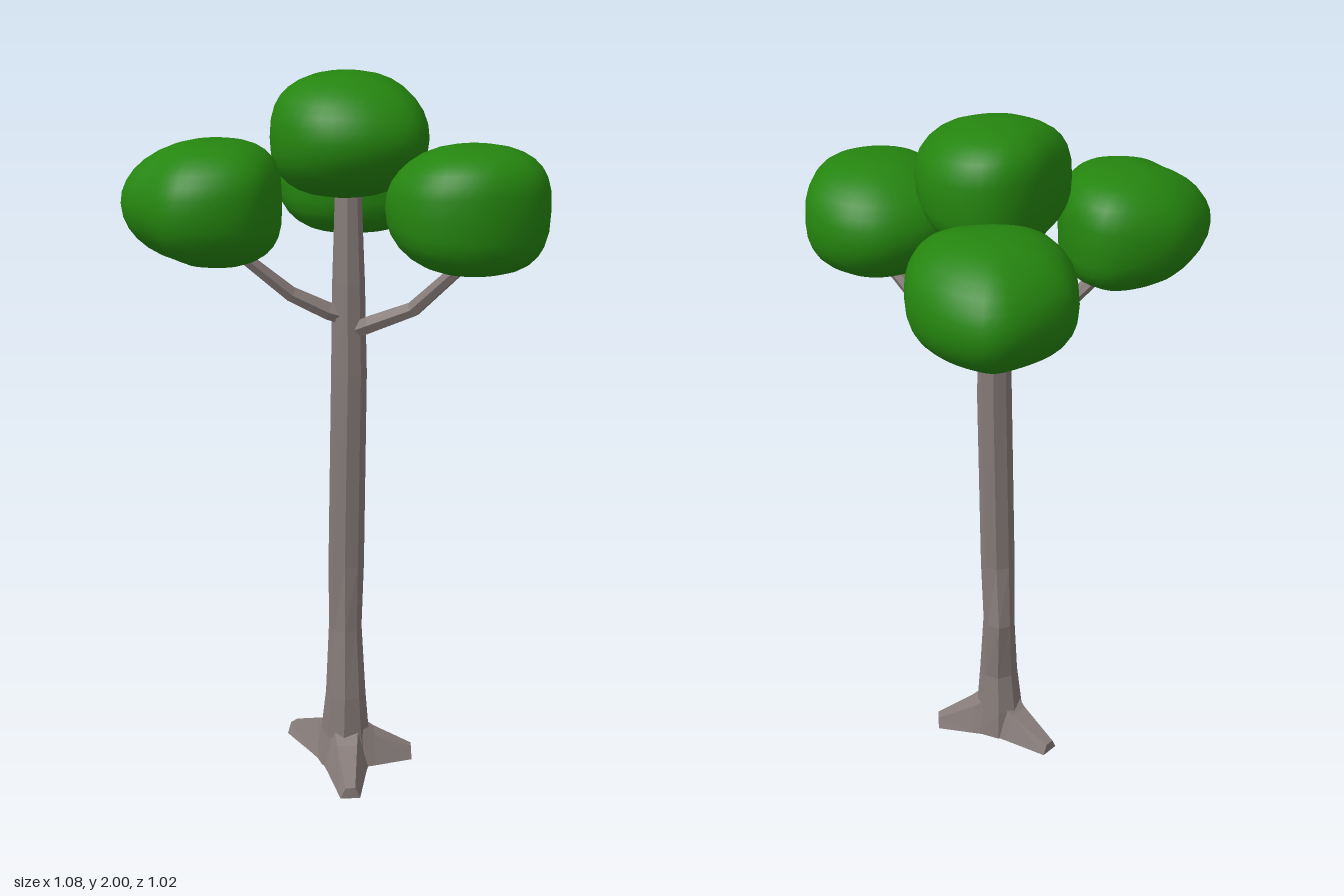
import * as THREE from 'three';

const V = (x, y, z) => new THREE.Vector3(x, y, z);

// Skin a stack of equal-length rings and close both ends.
function loft(rings, bottom, top, smooth) {
  const n = rings[0].length, pts = [...rings.flat(), bottom, top], idx = [];
  const b0 = pts.length - 2, t0 = pts.length - 1, last = (rings.length - 1) * n;
  for (let j = 0; j < n; j++) {
    const k = (j + 1) % n;
    for (let i = 0; i < rings.length - 1; i++) {
      const a = i * n + j, b = i * n + k;
      idx.push(a, a + n, b, b, a + n, b + n);
    }
    idx.push(b0, j, k, t0, last + k, last + j);
  }
  let geo = new THREE.BufferGeometry().setFromPoints(pts);
  geo.setIndex(idx);
  if (!smooth) geo = geo.toNonIndexed();
  geo.computeVertexNormals();
  return geo;
}

const average = (ring) => ring.reduce((s, p) => s.add(p), V(0, 0, 0)).divideScalar(ring.length);

// Place 2D sections [u, w] at centres, across the direction t.
function sweep(centres, sections, side, up) {
  const rings = centres.map((c, i) => sections[i].map(([u, w]) =>
    c.clone().addScaledVector(side[i], u).addScaledVector(up[i], w)));
  return loft(rings, average(rings[0]), average(rings.at(-1)), false);
}

function polygon(n, rx, rz, turn = 0) {
  return Array.from({ length: n }, (_, i) => {
    const a = (i / n) * Math.PI * 2 + turn;
    return [Math.cos(a) * rx, Math.sin(a) * rz];
  });
}

function trunkGeometry() {
  // y, x, z, half width, half depth
  const rows = [
    [0, 0.055, 0.085, 0.09, 0.085], [0.09, 0.055, 0.083, 0.07, 0.073],
    [0.22, 0.055, 0.092, 0.058, 0.06], [0.43, 0.055, 0.076, 0.047, 0.06],
    [0.63, 0.055, 0.088, 0.051, 0.042], [1.2, 0.058, 0.098, 0.049, 0.045],
    [1.45, 0.056, 0.095, 0.044, 0.041], [1.78, 0.054, 0.088, 0.032, 0.028]];
  return sweep(rows.map(([y, x, z]) => V(x, y, z)),
    rows.map((r) => polygon(8, r[3], r[4], 0.2)),
    rows.map(() => V(1, 0, 0)), rows.map(() => V(0, 0, 1)));
}

function rootGeometry(tipX, tipZ) {
  const start = V(0.055, 0, 0.09), tip = V(tipX, 0, tipZ);
  const dir = tip.clone().sub(start), length = dir.length();
  dir.normalize();
  const side = dir.clone().cross(V(0, 1, 0));
  // distance, height, half width
  const rows = [[0.02, 0.13, 0.075], [0.085, 0.085, 0.058], [length, 0.033, 0.028]];
  return sweep(rows.map(([d]) => start.clone().addScaledVector(dir, d)),
    rows.map(([, h, w]) => [[w, 0], [w * 0.5, h], [-w * 0.5, h], [-w, 0]]),
    rows.map(() => side), rows.map(() => V(0, 1, 0)));
}

function branchGeometry(points, radii) {
  const path = points.map((p) => V(...p));
  const tangents = path.map((p, i) =>
    path[Math.min(i + 1, path.length - 1)].clone().sub(path[Math.max(i - 1, 0)]).normalize());
  const side = tangents.map((t) => t.clone().cross(V(0, 1, 0)).normalize());
  const up = tangents.map((t, i) => side[i].clone().cross(t));
  return sweep(path, radii.map((r) => polygon(6, r, r)), side, up);
}

// Rounded leaf mass: a plan outline, tapered towards its tip and blunt behind it.
function crownGeometry({ centre: [cx, cy, cz], tip, outline }) {
  const plan = new THREE.CatmullRomCurve3(outline.map(([x, z]) => V(x - cx, 0, z - cz)), true)
    .getSpacedPoints(40).slice(0, 40);
  const tipAngle = Math.atan2(tip[1], tip[0]), rings = [], steps = 16, height = 0.16;
  for (let i = 1; i < steps; i++) {
    const phi = (i / steps - 0.5) * Math.PI;
    rings.push(plan.map((p) => {
      const toward = Math.cos(Math.atan2(p.z, p.x) - tipAngle);
      const e = 0.83 + 0.2 * toward;
      const r = Math.cos(phi) ** e;
      const y = Math.sign(phi) * Math.abs(Math.sin(phi)) ** e * height;
      return V(cx + p.x * r, cy + y, cz + p.z * r);
    }));
  }
  return loft(rings, V(cx, cy - height, cz), V(cx, cy + height, cz), true);
}

const crowns = {
  rightCrown: { centre: [-0.32, 1.68, 0.13], tip: [-1, 0], outline: [
    [-0.125, 0.12], [-0.14, 0.21], [-0.2, 0.31], [-0.3, 0.343], [-0.42, 0.32],
    [-0.49, 0.22], [-0.54, 0.12], [-0.44, -0.035], [-0.3, -0.075], [-0.2, -0.055], [-0.14, 0.03]] },
  leftCrown: { centre: [0.33, 1.68, 0.3], tip: [-0.4, -1], outline: [
    [0.537, 0.31], [0.48, 0.45], [0.33, 0.507], [0.2, 0.47], [0.13, 0.37],
    [0.122, 0.26], [0.18, 0.14], [0.34, 0.082], [0.45, 0.12], [0.53, 0.23]] },
  backCrown: { centre: [0.12, 1.68, -0.29], tip: [0.1, -1], outline: [
    [0.325, -0.29], [0.32, -0.19], [0.27, -0.11], [0.15, -0.09], [-0.04, -0.14],
    [-0.09, -0.24], [-0.09, -0.31], [-0.06, -0.4], [0.14, -0.51], [0.25, -0.44], [0.31, -0.34]] },
  topCrown: { centre: [0.05, 1.84, 0.09], tip: [0.3, 1], outline: [
    [0.255, 0.09], [0.245, 0.2], [0.2, 0.275], [0.06, 0.31], [-0.06, 0.27],
    [-0.13, 0.18], [-0.153, 0.1], [-0.1, 0], [-0.02, -0.09], [0.08, -0.124],
    [0.17, -0.09], [0.24, 0]] },
};

const branches = {
  rightBranch: [[0.05, 1.36, 0.1], [0, 1.375, 0.1], [-0.1, 1.425, 0.1], [-0.27, 1.57, 0.12]],
  leftBranch: [[0.055, 1.31, 0.09], [0.11, 1.345, 0.14], [0.21, 1.4, 0.21], [0.35, 1.57, 0.32]],
  backBranch: [[0.055, 1.415, 0.09], [0.06, 1.42, 0.03], [0.08, 1.44, -0.06], [0.12, 1.55, -0.24]],
};

const roots = { leftRoot: [0.25, 0.11], frontRoot: [0.035, 0.318], backRoot: [-0.078, -0.08] };

export function createModel() {
  const bark = new THREE.MeshStandardMaterial({ color: 0x877c7a });
  bark.name = 'bark';
  const leaves = new THREE.MeshStandardMaterial({ color: 0x25850f });
  leaves.name = 'leaves';

  const tree = new THREE.Group();
  tree.name = 'tree';
  const add = (name, geometry, material) => {
    const mesh = new THREE.Mesh(geometry, material);
    mesh.name = name;
    tree.add(mesh);
  };

  add('trunk', trunkGeometry(), bark);
  for (const [name, tip] of Object.entries(roots)) add(name, rootGeometry(...tip), bark);
  for (const [name, path] of Object.entries(branches))
    add(name, branchGeometry(path, [0.027, 0.025, 0.022, 0.017]), bark);
  for (const [name, crown] of Object.entries(crowns)) add(name, crownGeometry(crown), leaves);
  return tree;
}
